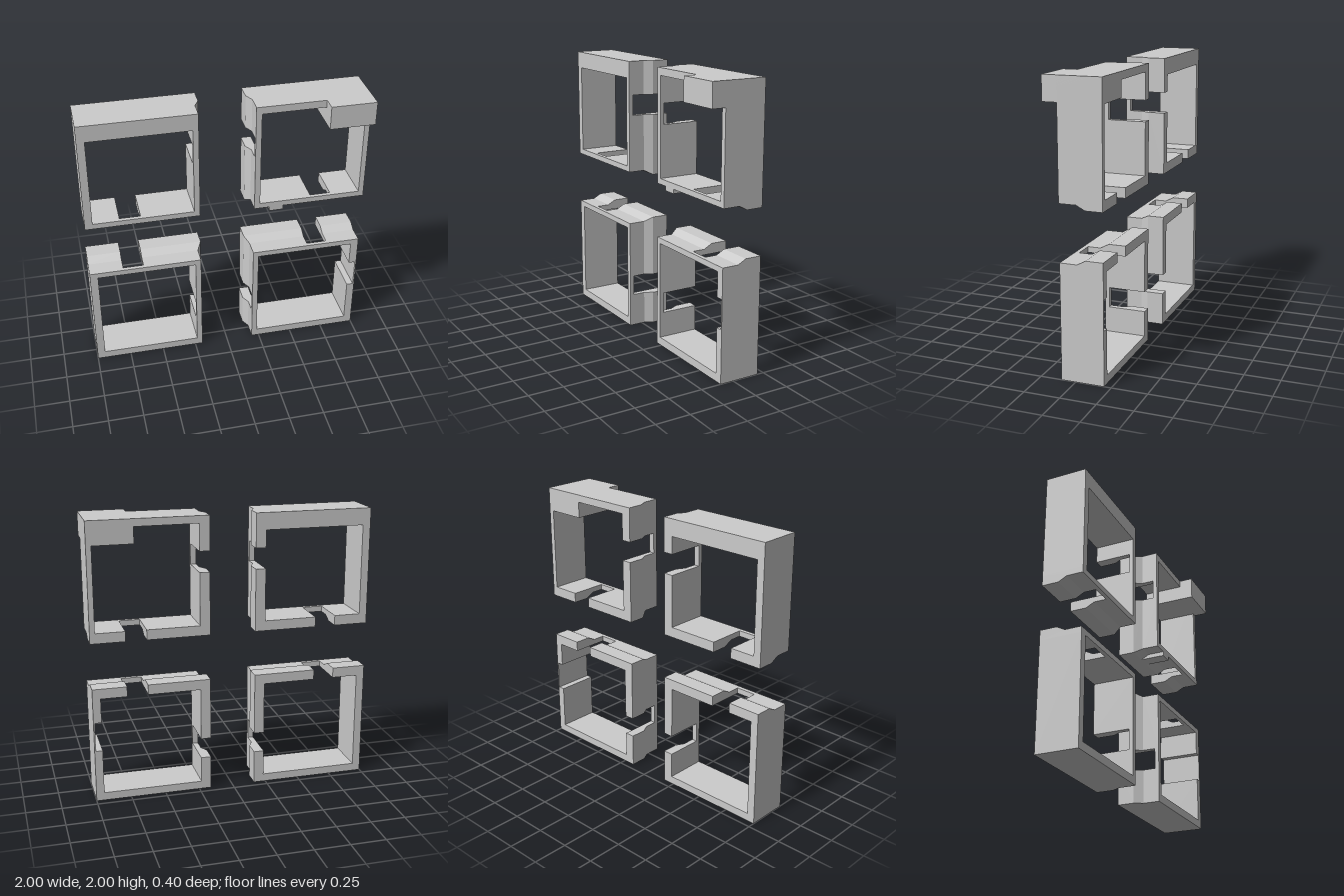
import * as THREE from 'three';

const BACK = -0.2, FRONT = 0.1;
const INNER = 0.235;            // hole edge of the two walls facing the centre
const NOTCH = [0.61, 0.757];    // gap along each of those walls

// Wall cross-section: [distance from centre, z], stepping out towards the back
const WALL = [[INNER, BACK], [INNER, FRONT], [0.195, FRONT], [0.195, -0.02], [0.163, -0.08], [0.163, BACK]];
// Thin bridge that closes each notch at the front
const BRIDGE = [[INNER, 0.07], [INNER, FRONT], [0.195, FRONT], [0.195, 0.07]];

const material = new THREE.MeshStandardMaterial({ color: 0xcccccc, flatShading: true });

// Moves every vertex by a rule; flip reverses the faces where the rule mirrors
function remap(geometry, rule, flip) {
  const geo = geometry.index ? geometry.toNonIndexed() : geometry;
  const p = geo.attributes.position;
  for (let i = 0; i < p.count; i++) p.setXYZ(i, ...rule(p.getX(i), p.getY(i), p.getZ(i)));
  if (flip) {
    for (let i = 0; i < p.count; i += 3) {
      const b = [p.getX(i + 1), p.getY(i + 1), p.getZ(i + 1)];
      p.setXYZ(i + 1, p.getX(i + 2), p.getY(i + 2), p.getZ(i + 2));
      p.setXYZ(i + 2, ...b);
    }
  }
  geo.computeVertexNormals();
  return geo;
}

// One square frame; sx and sy choose its quadrant about (0, 1)
function makeFrame({ name, sx, sy, hx, hy, pocket, blocks = [] }) {
  const frame = new THREE.Group();
  frame.name = name;
  const add = (geo, part) => {
    const mesh = new THREE.Mesh(geo, material);
    mesh.name = part;
    frame.add(mesh);
  };

  // Box given by ranges of distance from the centre lines
  const box = (part, a0, a1, b0, b1, z0 = BACK, z1 = FRONT) => {
    const geo = new THREE.BoxGeometry(a1 - a0, b1 - b0, z1 - z0);
    geo.translate(sx * (a0 + a1) / 2, 1 + sy * (b0 + b1) / 2, (z0 + z1) / 2);
    add(geo, part);
  };

  // Profile swept from u0 to u1 along x or y, with a mitred corner where u0 is null
  const sweep = (part, profile, u0, u1, alongX) => {
    const shape = new THREE.Shape(profile.map(([v, z]) => new THREE.Vector2(v, z)));
    const geo = new THREE.ExtrudeGeometry(shape, { depth: 1, bevelEnabled: false });
    const rule = (v, z, t) => {
      const u = t > 0.5 ? u1 : (u0 ?? v);
      return alongX ? [sx * u, 1 + sy * v, z] : [sx * v, 1 + sy * u, z];
    };
    add(remap(geo, rule, alongX ? sx * sy < 0 : sx * sy > 0), part);
  };

  // Notched walls facing the centre
  for (const alongX of [true, false]) {
    const part = alongX ? 'horizontalSteppedWall' : 'verticalSteppedWall';
    sweep(part, WALL, null, NOTCH[0], alongX);
    sweep(part, WALL, NOTCH[1], 1, alongX);
    sweep('notchBridge', BRIDGE, NOTCH[0], NOTCH[1], alongX);
  }

  // Plain outer walls
  box('horizontalOuterWall', INNER, hx, hy, 1);
  if (pocket) {
    box('sideOuterWall', hx, 1, INNER, pocket[0]);
    box('pocketSkin', 0.99, 1, pocket[0], pocket[1]);
    box('sideOuterWall', hx, 1, pocket[1], 1);
  } else {
    box('sideOuterWall', hx, 1, INNER, 1);
  }
  for (const b of blocks) box(...b);
  return frame;
}

export function createModel() {
  const model = new THREE.Group();
  model.name = 'fourFrames';
  const frames = [
    { name: 'upperRightFrame', sx: -1, sy: 1, hx: 0.945, hy: 0.88 },
    {
      name: 'upperLeftFrame', sx: 1, sy: 1, hx: 0.963, hy: 0.947,
      blocks: [
        ['cornerBlock', 0.68, 1, 0.832, 1, BACK, 0.2],
        ['lowerTab', 0.305, 0.405, 0.163, 0.2, -0.08, FRONT],
      ],
    },
    { name: 'lowerRightFrame', sx: -1, sy: -1, hx: 0.943, hy: 0.943 },
    { name: 'lowerLeftFrame', sx: 1, sy: -1, hx: 0.943, hy: 0.943, pocket: [0.41, 0.62] },
  ];
  for (const f of frames) model.add(makeFrame(f));
  return model;
}
